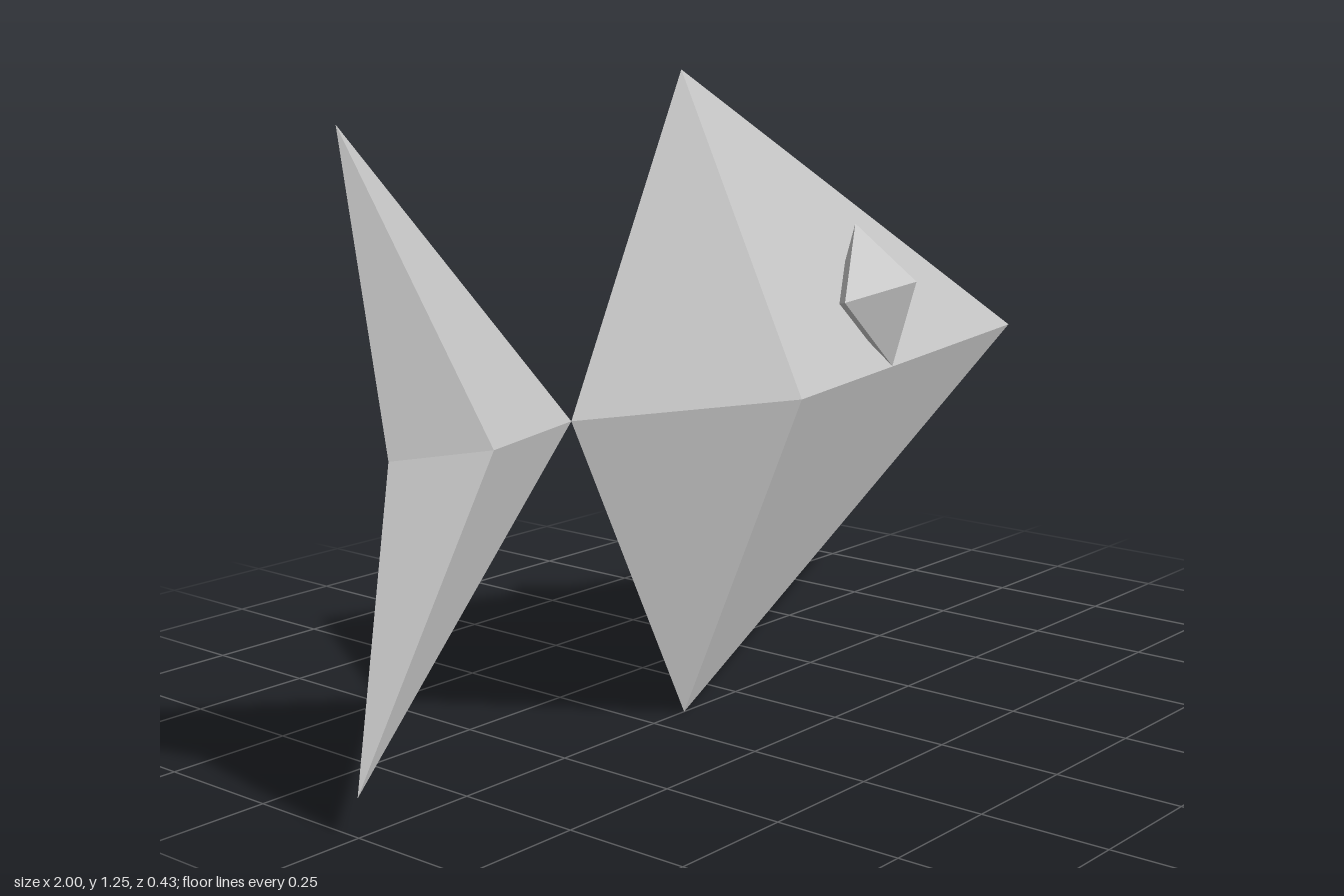
import * as THREE from 'three';

// Faceted bipyramid: a ring (counter-clockwise seen from +z) joined to a front and a back apex.
function bipyramid(name, ring, front, back, material) {
  const points = [];
  ring.forEach((a, i) => {
    const b = ring[(i + 1) % ring.length];
    points.push(...a, ...b, ...front, ...b, ...a, ...back);
  });
  const geometry = new THREE.BufferGeometry();
  geometry.setAttribute('position', new THREE.Float32BufferAttribute(points, 3));
  geometry.computeVertexNormals();
  const mesh = new THREE.Mesh(geometry, material);
  mesh.name = name;
  return mesh;
}

export function createModel() {
  const group = new THREE.Group();
  group.name = 'fish';
  const material = new THREE.MeshStandardMaterial({ color: 0xcccccc, flatShading: true });
  const midY = 0.63;

  // Body: nose, back, tail joint, belly, with a bulge on each side
  group.add(bipyramid('body',
    [[1, midY, 0], [-0.16, 1.25, 0], [-0.47, midY, 0], [-0.16, 0, 0]],
    [-0.04, midY, 0.195], [-0.04, midY, -0.195], material));

  // Tail fin: joint, upper tip, notch, lower tip
  group.add(bipyramid('tailFin',
    [[-0.47, midY, 0], [-1, 1.19, 0], [-0.91, midY, 0], [-1, 0.07, 0]],
    [-0.735, midY, 0.07], [-0.735, midY, -0.07], material));

  // Eyes: tilted octahedra sunk into the upper flanks
  const eyeRing = [[0.44, 0.785, 0.09], [0.285, 0.93, 0.08], [0.15, 0.79, 0.155], [0.3, 0.645, 0.165]];
  const outer = [0.312, 0.82, 0.213];
  const inner = [0.28, 0.76, 0.03];
  const mirror = ([x, y, z]) => [x, y, -z];
  group.add(bipyramid('leftSideEye', eyeRing, outer, inner, material));
  group.add(bipyramid('rightSideEye', eyeRing.map(mirror), mirror(inner), mirror(outer), material));

  return group;
}
